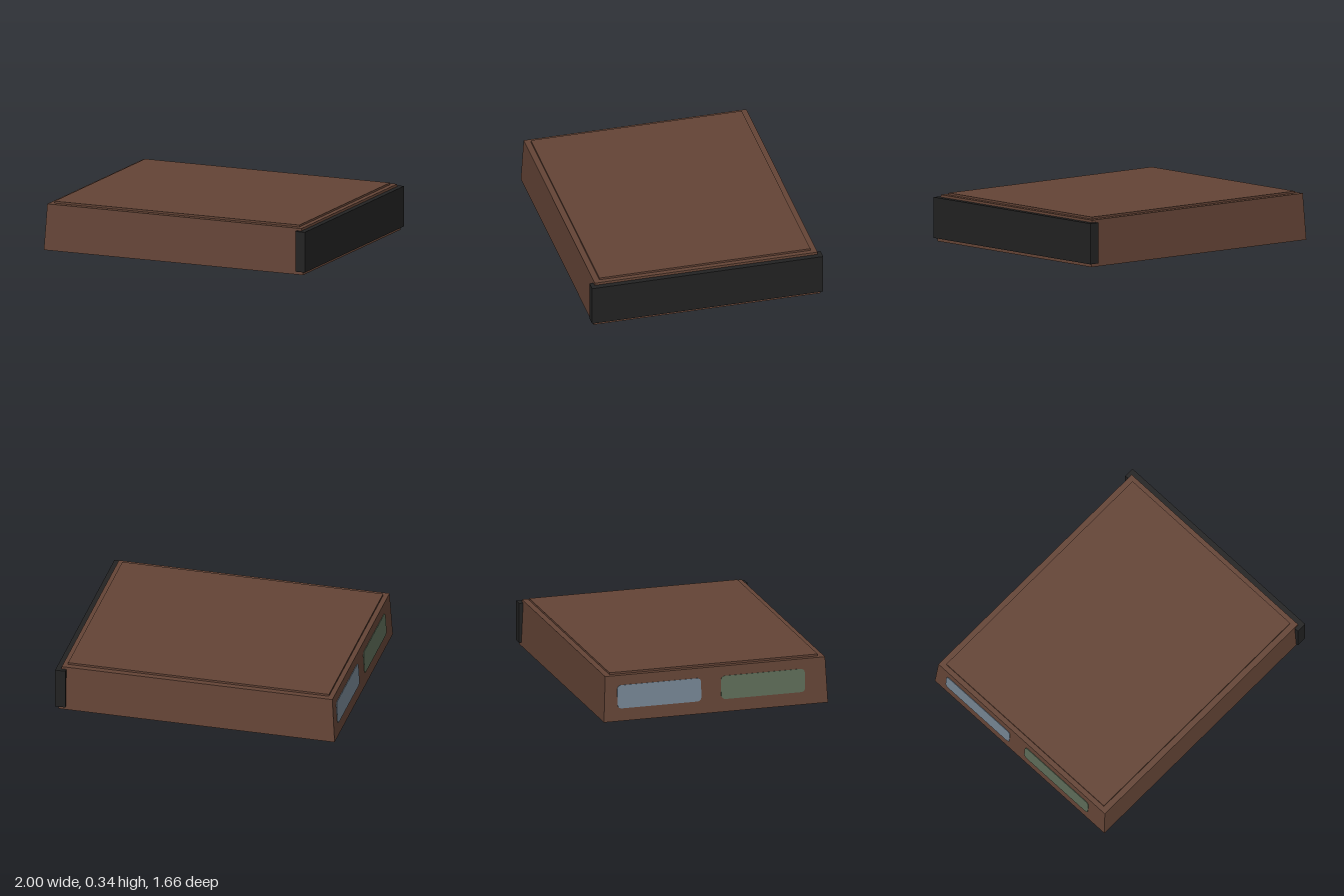
import * as THREE from 'three';

const paint = (name, color) => {
  const m = new THREE.MeshStandardMaterial({ color });
  m.name = name;
  return m;
};

export function createModel() {
  const group = new THREE.Group();
  const brown = paint('brown', 0x644436);
  const black = paint('black', 0x222222);
  const blue = paint('greyBlue', 0x758492);
  const green = paint('greyGreen', 0x5d6c58);

  const add = (name, geometry, material, x, y, z) => {
    const mesh = new THREE.Mesh(geometry, material);
    mesh.name = name;
    mesh.position.set(x, y, z);
    group.add(mesh);
    return mesh;
  };

  // Case body, tapering slightly towards the top
  const height = 0.326;
  const body = new THREE.BoxGeometry(1.98, height, 1.63);
  const p = body.attributes.position;
  for (let i = 0; i < p.count; i++) {
    if (p.getY(i) > 0) p.setXYZ(i, p.getX(i) * 0.97 / 0.99, p.getY(i), p.getZ(i) * 0.8 / 0.815);
  }
  body.computeVertexNormals();
  add('body', body, brown, -0.01, height / 2, 0);

  // Raised lid panel
  add('lidPanel', new THREE.BoxGeometry(1.87, 0.03, 1.515), brown, -0.01, 0.325, 0);

  // Dark end cap that overhangs the body on both sides
  add('endCap', new THREE.BoxGeometry(0.073, 0.286, 1.66), black, 0.9635, 0.166, 0);

  // Rounded label plates lying on the sloping end face
  const w = 0.305, h = 0.083, r = 0.03;
  const shape = new THREE.Shape();
  shape.absarc(w - r, h - r, r, 0, Math.PI / 2);
  shape.absarc(-w + r, h - r, r, Math.PI / 2, Math.PI);
  shape.absarc(-w + r, -h + r, r, Math.PI, Math.PI * 1.5);
  shape.absarc(w - r, -h + r, r, Math.PI * 1.5, Math.PI * 2);
  const plate = new THREE.ExtrudeGeometry(shape, { depth: 0.004, bevelEnabled: false, curveSegments: 6 });
  plate.rotateY(-Math.PI / 2);
  const slope = 0.02 / height;
  const plateY = 0.173;
  for (const [name, material, z] of [['bluePlate', blue, -0.41], ['greenPlate', green, 0.345]]) {
    const mesh = add(name, plate, material, -1 + slope * plateY, plateY, z);
    mesh.rotation.z = -Math.atan(slope);
  }
  return group;
}
